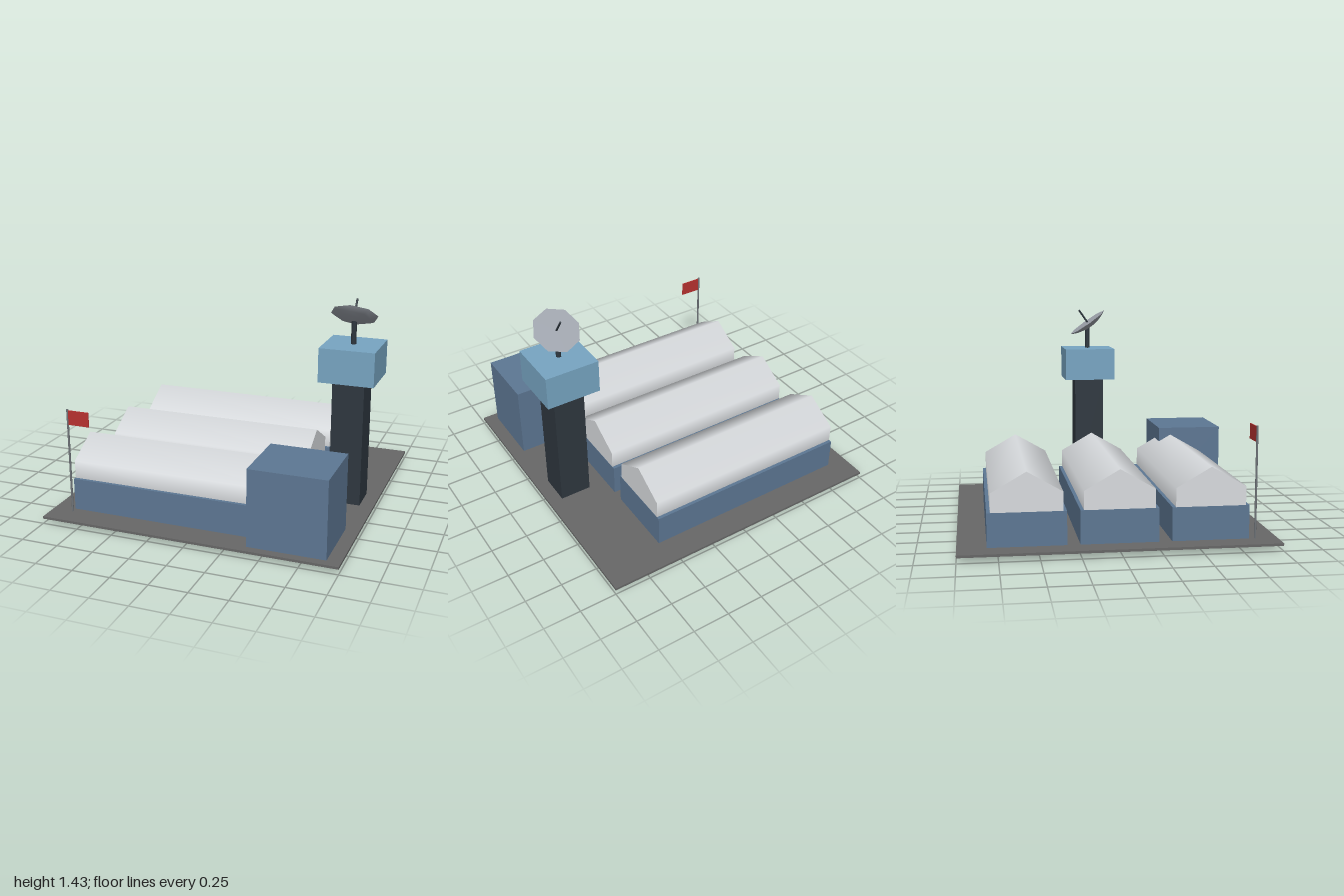
import * as THREE from 'three';

const material = (name, color) => {
  const m = new THREE.MeshStandardMaterial({ color });
  m.name = name;
  return m;
};

export function createModel() {
  const group = new THREE.Group();
  group.name = 'outpost';
  const ground = material('ground grey', 0x676767);
  const wall = material('wall blue', 0x5d7793);
  const roof = material('roof pale grey', 0xd8dbde);
  const dark = material('tower charcoal', 0x2e373f);
  const glass = material('cabin light blue', 0x77a5c2);
  const metal = material('dish grey', 0x9ca1aa);
  const pole = material('pole grey', 0x70757a);
  const red = material('flag red', 0xb83230);

  const add = (name, geometry, mat, x, y, z, parent = group) => {
    const mesh = new THREE.Mesh(geometry, mat);
    mesh.name = name;
    mesh.position.set(x, y, z);
    parent.add(mesh);
    return mesh;
  };
  // Box given by its ranges along each axis
  const box = (name, mat, x0, x1, y0, y1, z0, z1) =>
    add(name, new THREE.BoxGeometry(x1 - x0, y1 - y0, z1 - z0), mat,
      (x0 + x1) / 2, (y0 + y1) / 2, (z0 + z1) / 2);

  box('groundPlate', ground, -1, 1, 0.034, 0.05, -1, 1);

  // Three barracks: a box with a smooth six-sided barrel roof through it
  const barrel = new THREE.CylinderGeometry(0.257, 0.257, 1.428, 6, 1, false, Math.PI / 2);
  barrel.rotateZ(Math.PI / 2);
  for (const z of [-0.572, 0, 0.572]) {
    box('barracksWalls', wall, -0.86, 0.57, 0.04, 0.265, z - 0.245, z + 0.245);
    add('barracksRoof', barrel, roof, -0.145, 0.257, z);
  }

  // Office block
  box('office', wall, 0.4, 0.91, 0.04, 0.565, 0.487, 0.943);

  // Control tower
  box('towerShaft', dark, 0.693, 0.907, 0.04, 0.91, -0.107, 0.107);
  box('towerCabin', glass, 0.615, 0.985, 0.91, 1.14, -0.185, 0.185);
  add('dishMast', new THREE.CylinderGeometry(0.018, 0.018, 0.17, 8), dark, 0.8, 1.22, 0);

  // Tilted eight-sided dish with its feed rod
  const dish = new THREE.Group();
  dish.name = 'dish';
  dish.position.set(0.8, 1.335, 0);
  dish.rotation.x = -0.61;
  group.add(dish);
  const profile = [[0, -0.042], [0.06, -0.037], [0.11, -0.024], [0.142, -0.01], [0.157, 0]]
    .map(([r, y]) => new THREE.Vector2(r, y));
  add('dishBowl', new THREE.LatheGeometry(profile, 8), metal, 0, 0, 0, dish);
  add('dishFace', new THREE.CircleGeometry(0.157, 8).rotateX(-Math.PI / 2), metal, 0, 0, 0, dish);
  add('dishFeed', new THREE.CylinderGeometry(0.007, 0.007, 0.115, 6), dark, 0, 0.055, 0, dish);

  // Flagpole and flag
  add('flagPole', new THREE.CylinderGeometry(0.007, 0.007, 0.72, 8), pole, -0.857, 0.405, 0.857);
  box('flag', red, -0.852, -0.705, 0.66, 0.758, 0.854, 0.86);

  return group;
}
